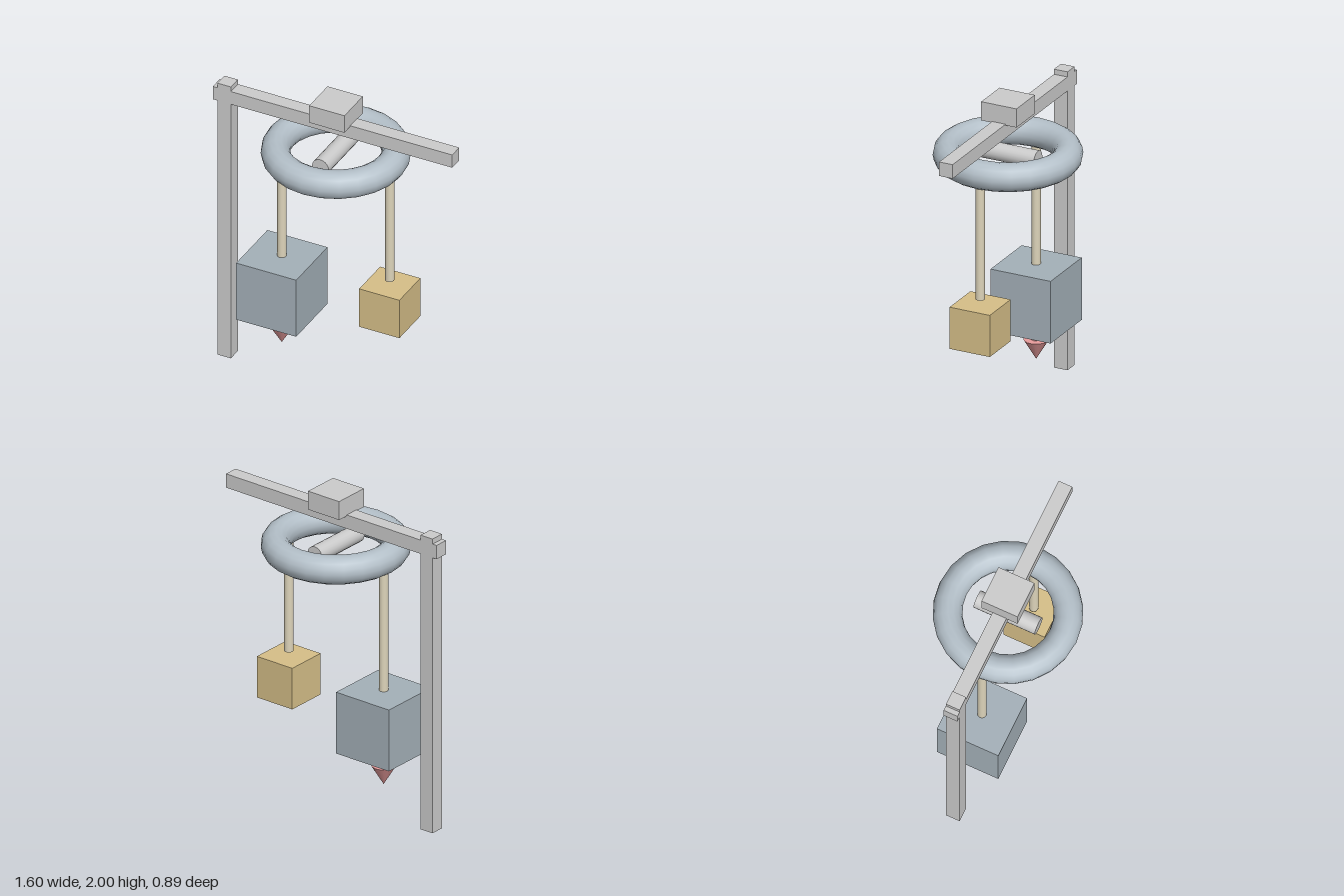
import * as THREE from 'three';

const material = (color) => new THREE.MeshStandardMaterial({ color });
const GREY = material(0xcccccc);
const STEEL = material(0xb4c0c9);
const ROPE = material(0xddd4ba);
const SLATE = material(0xa4b0b8);
const GOLD = material(0xd6bf88);
const RED = material(0xe89c9c);

export function createModel() {
  const model = new THREE.Group();
  model.name = 'pulleyStand';

  const add = (name, geometry, mat, x, y, z = 0) => {
    const mesh = new THREE.Mesh(geometry, mat);
    mesh.name = name;
    mesh.position.set(x, y, z);
    model.add(mesh);
    return mesh;
  };
  // Box given by its size and the height of its underside
  const box = (name, mat, x, bottom, w, h, d) =>
    add(name, new THREE.BoxGeometry(w, h, d), mat, x, bottom + h / 2);
  // Upright cylinder between two heights
  const rod = (name, mat, x, bottom, top, r) =>
    add(name, new THREE.CylinderGeometry(r, r, top - bottom, 16), mat, x, (bottom + top) / 2);

  // Frame
  box('post', GREY, -0.722, 0, 0.09, 1.92, 0.09);
  box('beam', GREY, 0, 1.797, 1.595, 0.09, 0.09);
  box('mount', GREY, 0, 1.88, 0.235, 0.12, 0.235);

  // Pulley ring lying flat, with a short axle through its middle
  const ringY = 1.646, ringR = 0.358;
  add('pulleyRing', new THREE.TorusGeometry(ringR, 0.088, 16, 24), STEEL, 0, ringY).rotation.x = Math.PI / 2;
  add('axle', new THREE.CylinderGeometry(0.055, 0.055, 0.4, 20), GREY, 0, ringY).rotation.x = Math.PI / 2;

  // Ropes and their weights
  rod('heavyRope', ROPE, -ringR - 0.003, 0.8, ringY, 0.028);
  rod('lightRope', ROPE, ringR, 0.846, ringY, 0.028);
  box('heavyWeight', SLATE, -0.361, 0.4, 0.4, 0.4, 0.4);
  box('lightWeight', GOLD, ringR, 0.55, 0.268, 0.268, 0.268);

  // Arrow pointing down under the heavy weight
  rod('arrowShaft', RED, -0.361, 0.31, 0.42, 0.028);
  add('arrowHead', new THREE.ConeGeometry(0.075, 0.126, 20), RED, -0.361, 0.249).rotation.x = Math.PI;

  return model;
}
